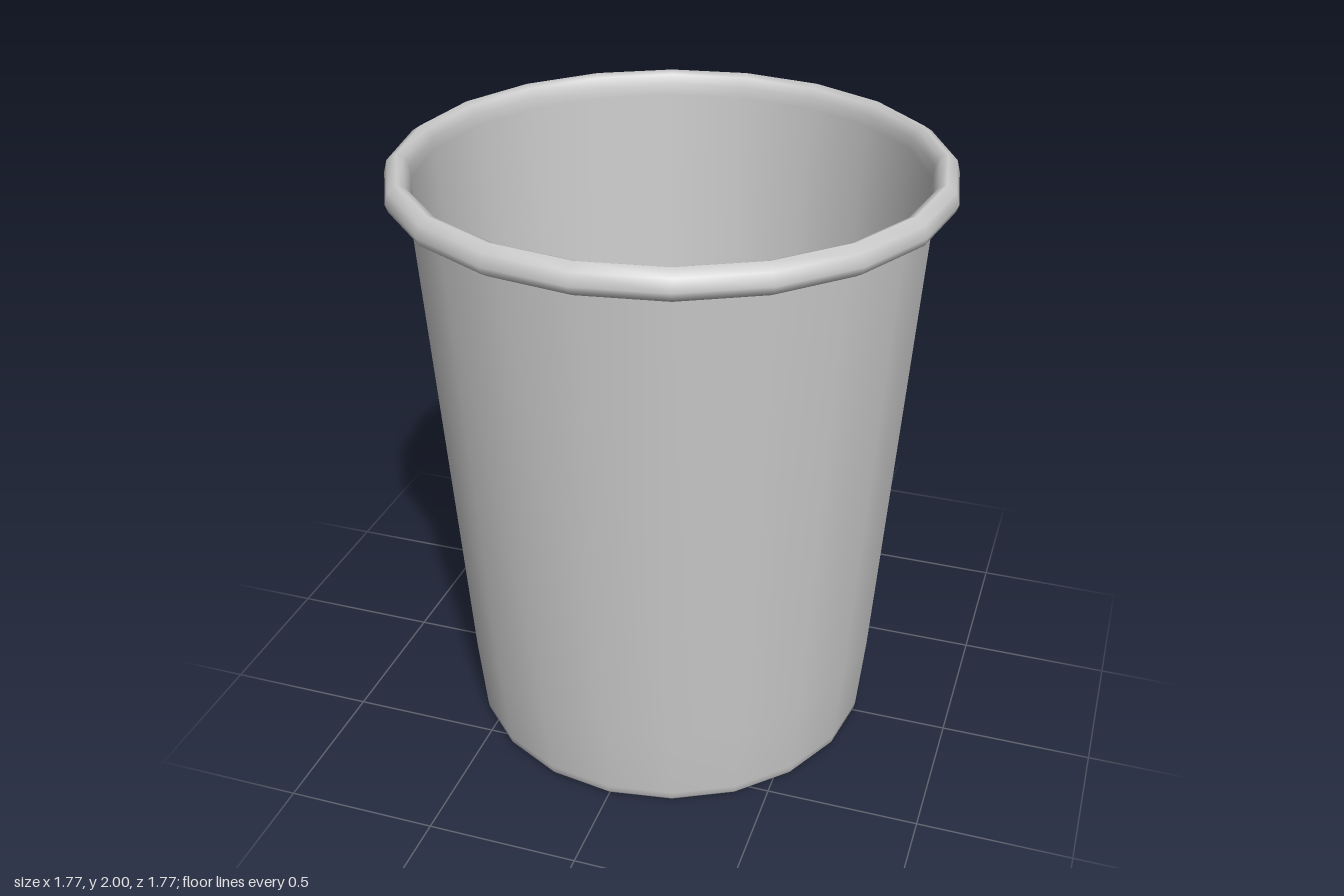
import * as THREE from 'three';

const SIDES = 20;

// Revolve a [radius, height] profile, running counter-clockwise so faces point out
function revolve(name, profile) {
  const points = profile.map(([r, y]) => new THREE.Vector2(r, y));
  const material = new THREE.MeshStandardMaterial({ color: 0xcccccc, side: THREE.DoubleSide });
  const mesh = new THREE.Mesh(new THREE.LatheGeometry(points, SIDES), material);
  mesh.name = name;
  return mesh;
}

export function createModel() {
  const cup = new THREE.Group();
  cup.name = 'cup';

  // Recessed underside
  cup.add(revolve('underside', [[0, 0.04], [0.58, 0.04], [0.63, 0.04]]));

  // Foot ring and tapered outer wall
  cup.add(revolve('outerWall', [
    [0.63, 0.04], [0.64, 0.01], [0.65, 0], [0.67, 0.003], [0.68, 0.015],
    [0.684, 0.04], [0.708, 0.3], [0.815, 1.91],
  ]));

  // Rolled lip
  cup.add(revolve('rim', [
    [0.815, 1.905], [0.855, 1.905], [0.876, 1.918], [0.885, 1.942],
    [0.875, 1.98], [0.845, 2], [0.822, 1.99], [0.806, 1.96], [0.804, 1.92],
  ]));

  // Inner wall running down to the floor
  cup.add(revolve('innerWall', [[0.804, 1.92], [0.698, 0.32], [0.665, 0.1], [0.65, 0.06]]));
  cup.add(revolve('floor', [[0.65, 0.06], [0.54, 0.05], [0.4, 0.05], [0, 0.05]]));

  return cup;
}
